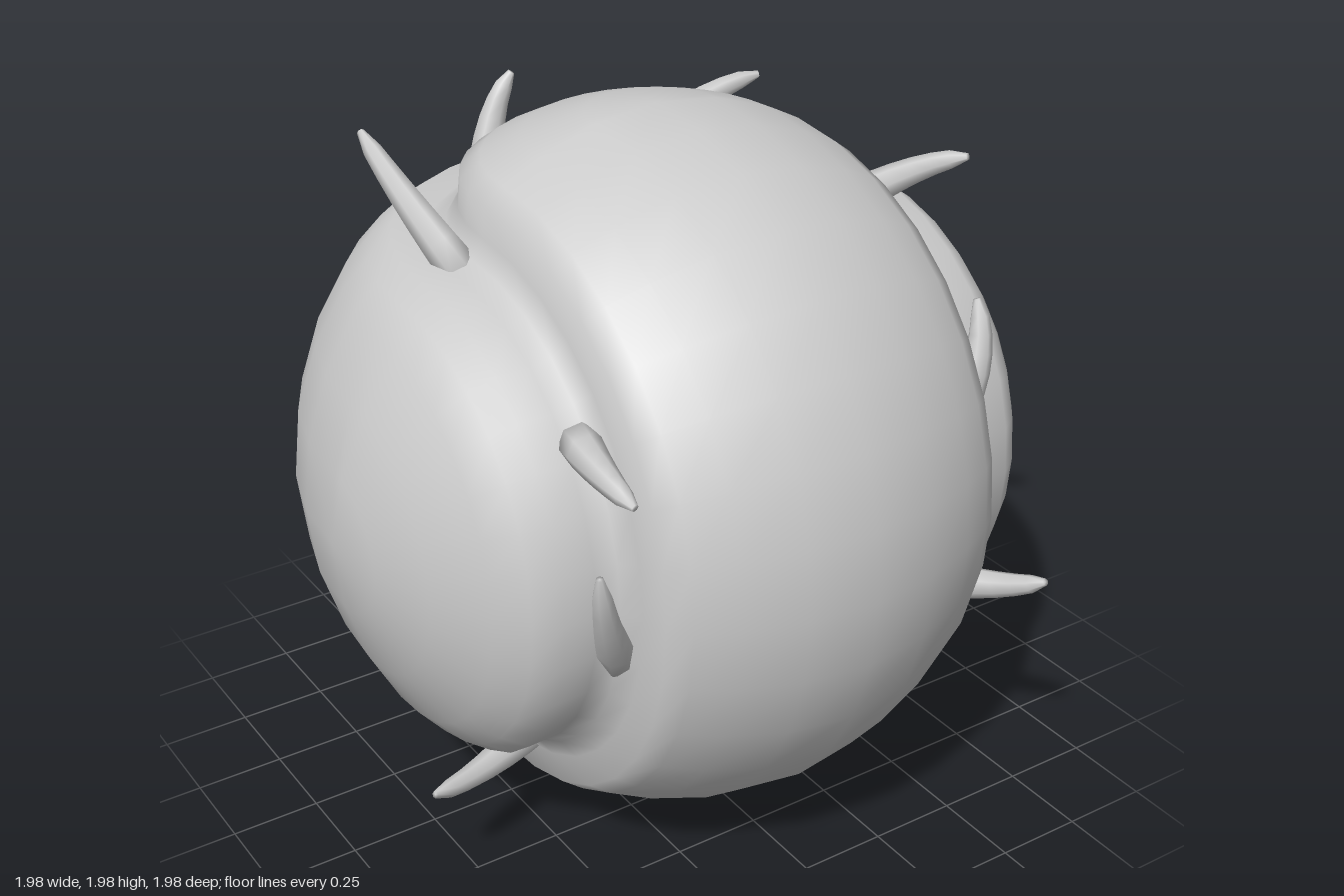
import * as THREE from 'three';
import { mergeVertices } from 'three/addons/utils/BufferGeometryUtils.js';

const CENTRE = new THREE.Vector3(0, 0.99, 0);
const SEGMENTS = 16;

// Cross-section from the middle of one lobe (0 deg), through the seam groove, to the other (90 deg): [degrees, radius]
const PROFILE = [
  [0, 0.99], [11, 0.985], [21, 0.977], [28, 0.973], [32, 0.965], [35.3, 0.9], [39, 0.878], [42.5, 0.893],
  [46.5, 0.962], [51, 0.98], [57, 0.988], [67.5, 0.988], [78.5, 0.99], [90, 0.992],
];

// Half of the ball: rings about the x axis, swept through 180 degrees
function addHalf(profile, place, positions, index) {
  const rings = [...profile.slice(1).reverse().map(([a, r]) => [-a, r]), ...profile];
  const start = positions.length / 3;
  const row = SEGMENTS + 1;
  rings.forEach(([deg, r], i) => {
    const a = THREE.MathUtils.degToRad(deg);
    for (let j = 0; j <= SEGMENTS; j++) {
      const t = (j / SEGMENTS - 0.5) * Math.PI;
      positions.push(...place(r * Math.sin(a), r * Math.cos(a) * Math.sin(t), r * Math.cos(a) * Math.cos(t)));
      if (i === rings.length - 1 || j === SEGMENTS) continue;
      const p = start + i * row + j;
      if (i < rings.length - 2) index.push(p, p + row, p + row + 1);
      if (i > 0) index.push(p, p + row + 1, p + 1);
      // Fans at the two poles
      if (i === rings.length - 2) index.push(p, p + row, p + row + 1);
    }
  });
}

// Two interlocking halves meet on the z = 0 circle and share one curved seam
function ballGeometry() {
  const positions = [], index = [];
  const turned = PROFILE.map(([a, r]) => [90 - a, r]).reverse();
  addHalf(PROFILE, (x, y, z) => [x, y, z], positions, index);
  addHalf(turned, (x, y, z) => [y, x, -z], positions, index);
  let geometry = new THREE.BufferGeometry();
  geometry.setAttribute('position', new THREE.Float32BufferAttribute(positions, 3));
  geometry.setIndex(index);
  geometry = mergeVertices(geometry, 1e-4);
  geometry.computeVertexNormals();
  return geometry;
}

// Tapered cylinder bent along a curve from root to tip
function spikeGeometry(root, tip) {
  const outward = root.clone().sub(CENTRE).normalize();
  const middle = root.clone().lerp(tip, 0.5).addScaledVector(outward, 0.04);
  const curve = new THREE.QuadraticBezierCurve3(root.clone().addScaledVector(outward, -0.04), middle, tip);
  const geometry = new THREE.CylinderGeometry(1, 1, 1, 7, 6);
  const pos = geometry.attributes.position;
  const v = new THREE.Vector3();
  const up = new THREE.Vector3(0, 1, 0);
  const turn = new THREE.Quaternion();
  for (let i = 0; i < pos.count; i++) {
    v.fromBufferAttribute(pos, i);
    const t = v.y + 0.5;
    const radius = t > 0.99 ? 0.01 : 0.055 * (1 - 0.65 * t);
    turn.setFromUnitVectors(up, curve.getTangent(t));
    v.set(v.x * radius, 0, v.z * radius).applyQuaternion(turn).add(curve.getPoint(t));
    pos.setXYZ(i, v.x, v.y, v.z);
  }
  geometry.deleteAttribute('uv');
  geometry.deleteAttribute('normal');
  const welded = mergeVertices(geometry, 1e-4);
  welded.computeVertexNormals();
  return welded;
}

// Root and tip of each spike growing out of the seam
const SPIKES = [
  [[-0.59, 1.66, -0.04], [-0.66, 1.92, -0.37]],
  [[-0.24, 1.68, -0.53], [-0.13, 1.94, -0.52]],
  [[0.30, 1.70, -0.49], [0.65, 1.81, -0.45]],
  [[0.61, 1.64, 0.09], [0.77, 1.78, 0.34]],
  [[0.58, 1.22, 0.64], [0.61, 1.50, 0.59]],
  [[0.56, 0.65, 0.60], [0.65, 0.78, 0.90]],
  [[0.52, 0.29, 0.19], [0.75, 0.39, 0.33]],
  [[0.46, 0.27, -0.27], [0.60, 0.11, -0.43]],
  [[0.19, 0.30, -0.53], [0.03, 0.29, -0.85]],
  [[-0.35, 0.30, -0.41], [-0.44, 0.07, -0.41]],
  [[-0.52, 0.28, 0.15], [-0.89, 0.34, 0.30]],
  [[-0.55, 0.82, 0.66], [-0.67, 1.18, 0.78]],
  [[-0.59, 1.41, 0.55], [-0.61, 1.38, 0.84]],
];

export function createModel() {
  const model = new THREE.Group();
  model.name = 'spikedBall';
  const material = new THREE.MeshStandardMaterial({ color: 0xcccccc });

  const ball = new THREE.Mesh(ballGeometry(), material);
  ball.name = 'ball';
  ball.position.copy(CENTRE);
  model.add(ball);

  const spikes = new THREE.Group();
  spikes.name = 'seamSpikes';
  SPIKES.forEach(([root, tip], i) => {
    const spike = new THREE.Mesh(spikeGeometry(new THREE.Vector3(...root), new THREE.Vector3(...tip)), material);
    spike.name = `spike${i + 1}`;
    spikes.add(spike);
  });
  model.add(spikes);
  return model;
}
